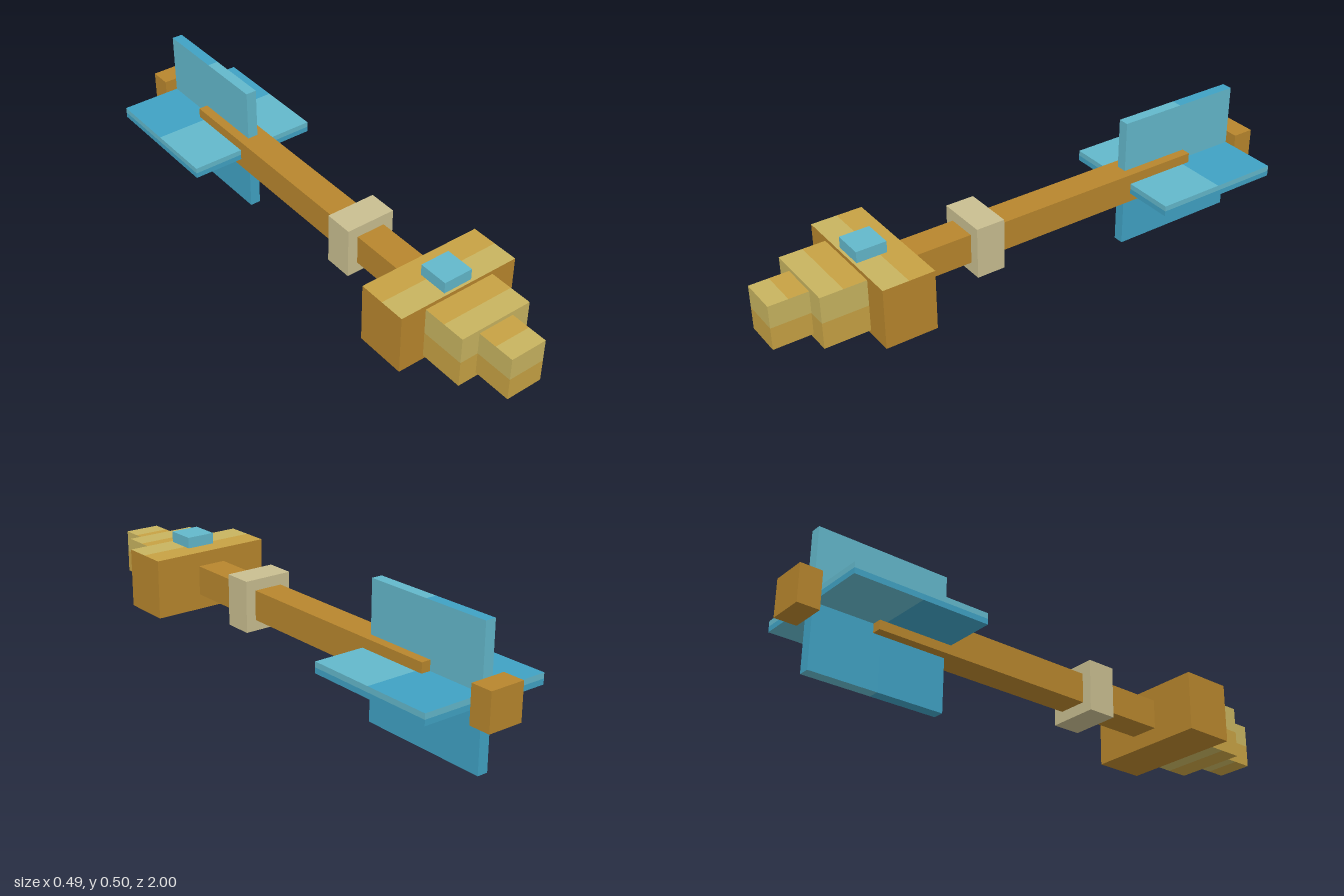
import * as THREE from 'three';

const mat = (name, color) => {
  const m = new THREE.MeshStandardMaterial({ color });
  m.name = name;
  return m;
};

export function createModel() {
  const orange = mat('orange brown', 0xb8862d);
  const gold = mat('gold', 0xc7a244);
  const sand = mat('light gold', 0xc8b460);
  const blue = mat('blue', 0x40a2c4);
  const sky = mat('light blue', 0x63b8cb);
  const cream = mat('cream', 0xc9be90);

  const model = new THREE.Group();
  model.name = 'rocket';

  // Box centred on x = 0, given by half width and y and z ranges
  function block(name, halfW, [y0, y1], [z0, z1], material, geometry) {
    const geo = geometry ?? new THREE.BoxGeometry(1, 1, 1);
    geo.scale(halfW * 2, y1 - y0, z1 - z0);
    const mesh = new THREE.Mesh(geo, material);
    mesh.name = name;
    mesh.position.set(0, (y0 + y1) / 2, (z0 + z1) / 2);
    model.add(mesh);
  }

  // Unit box with every face halved: material 0 light, 1 dark, 2 plain sides
  function halvedBox(plainSides) {
    const geo = new THREE.BoxGeometry(1, 1, 1, 1, 2, 2).toNonIndexed();
    const p = geo.attributes.position, n = geo.attributes.normal;
    geo.clearGroups();
    for (let i = 0; i < p.count; i += 6) {
      let y = 0, z = 0;
      for (let k = i; k < i + 6; k++) { y += p.getY(k); z += p.getZ(k); }
      const ny = n.getY(i);
      const light = ny > 0.5 ? z > 0 : ny < -0.5 ? z < 0 : y > 0;
      geo.addGroup(i, 6, plainSides && ny < 0.5 ? 2 : light ? 0 : 1);
    }
    return geo;
  }

  // Stepped nose
  block('noseTip', 0.068, [0.167, 0.33], [0.86, 1], [sand, gold], halvedBox());
  block('noseStep', 0.137, [0.152, 0.344], [0.695, 0.86], [sand, gold], halvedBox());
  block('head', 0.233, [0.138, 0.358], [0.507, 0.695], [sand, gold, orange], halvedBox(true));
  block('topButton', 0.055, [0.358, 0.399], [0.575, 0.685], sky);

  // Shaft and its collar
  block('shaft', 0.055, [0.195, 0.305], [-0.7, 0.507], orange);
  block('collar', 0.094, [0.155, 0.345], [0.152, 0.26], cream);

  // Crossed tail fins
  block('uprightFin', 0.02, [0, 0.495], [-0.92, -0.425], [sky, blue], halvedBox());
  block('flatFin', 0.247, [0.228, 0.268], [-0.92, -0.425], [sky, blue], halvedBox());

  // Tail end
  block('tailBlock', 0.067, [0.18, 0.315], [-1, -0.92], orange);

  return model;
}
